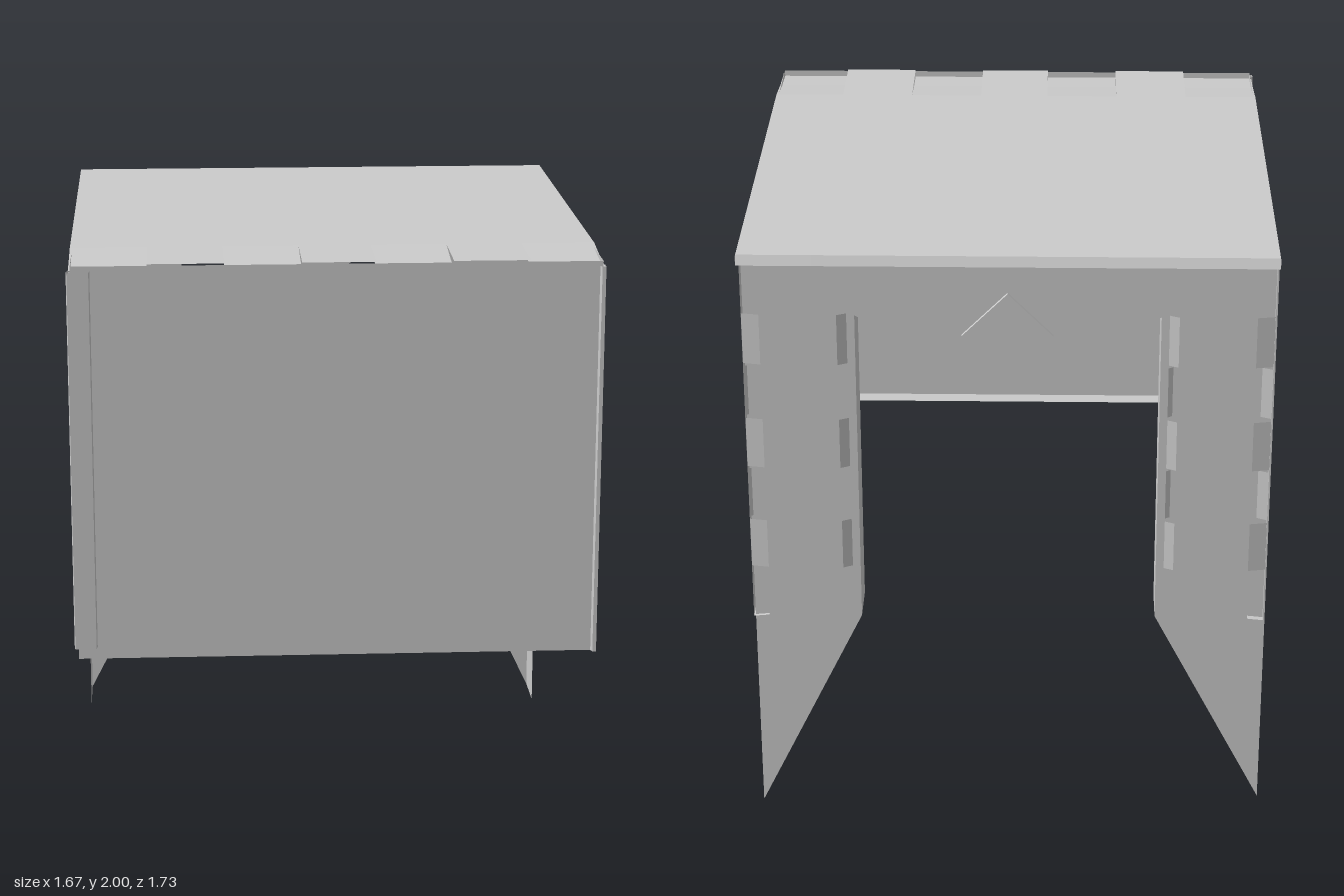
import * as THREE from 'three';

const material = new THREE.MeshStandardMaterial({
  color: 0xcccccc, side: THREE.DoubleSide, flatShading: true,
});

// Adds a folded sheet: a strip of quads between two edges with equal point counts.
function sheet(group, name, edgeA, edgeB) {
  const pos = [], index = [];
  edgeA.forEach((a, i) => pos.push(...a, ...edgeB[i]));
  for (let i = 0; i < edgeA.length - 1; i++) {
    const k = i * 2;
    index.push(k, k + 1, k + 2, k + 1, k + 3, k + 2);
  }
  const geo = new THREE.BufferGeometry();
  geo.setAttribute('position', new THREE.Float32BufferAttribute(pos, 3));
  geo.setIndex(index);
  geo.computeVertexNormals();
  const mesh = new THREE.Mesh(geo, material);
  mesh.name = name;
  group.add(mesh);
}

// Vertical band that follows a plan path of [x, z] points.
const band = (group, name, path, y0, y1) => sheet(group, name,
  path.map(([x, z]) => [x, y0, z]), path.map(([x, z]) => [x, y1, z]));

// Flat outline in the x-y plane at a given z.
function plate(group, name, points, z) {
  const shape = new THREE.Shape(points.map(([x, y]) => new THREE.Vector2(x, y)));
  const mesh = new THREE.Mesh(new THREE.ShapeGeometry(shape), material);
  mesh.name = name;
  mesh.position.z = z;
  group.add(mesh);
}

const W = 0.825, FRONT = 0.84, BACK = -0.82, BASE = 0.72, TOP = 1.995, ROW = 0.18;

// One side wall with woven bands, back flap and pointed leg; s is the x sign.
function buildSide(s) {
  const side = new THREE.Group();
  side.name = s > 0 ? 'leftSide' : 'rightSide';
  for (let row = 0; row < 7; row++) {
    const y0 = BASE + row * ROW, y1 = row === 6 ? TOP : y0 + ROW;
    const tucked = row % 2 === 1;
    const path = [[s * (tucked ? W - 0.015 : W), FRONT], [s * W, 0.06], [s * W, BACK]];
    band(side, 'sideBand', path, y0, y1);
    // bands weave around the back flap, alternately outside and inside
    if (row > 0 && row < 6) {
      const z = tucked ? -0.825 : -0.79;
      band(side, 'wovenEnd',
        [[s * W, BACK + 0.005], [s * 0.77, z], [s * 0.53, z], [s * 0.5, -0.81]],
        y0 + 0.005, y1 - 0.005);
    }
  }
  // bottom hem
  sheet(side, 'sideHem', [[s * W, BASE, FRONT], [s * W, BASE, BACK]],
    [[s * (W - 0.05), BASE + 0.005, FRONT], [s * (W - 0.05), BASE + 0.005, BACK]]);

  // back flap tapering into the leg, with returns at both edges
  const foot = s > 0 ? 0.005 : 0.03, legX = s > 0 ? 0.82 : 0.832;
  const reach = s > 0 ? -0.64 : -0.61, z = s > 0 ? -0.81 : -0.8;
  plate(side, 'backFlapAndLeg',
    [[s * legX, foot], [s * legX, 1.97], [s * 0.475, 1.97], [s * 0.475, BASE]], z);
  band(side, 'legReturn', [[s * legX, z], [s * legX, reach]], foot, BASE + 0.04);
  band(side, 'flapInnerReturn', [[s * 0.475, z], [s * 0.475, -0.66]], BASE, 1.97);
  return side;
}

export function createModel() {
  const model = new THREE.Group();
  model.add(buildSide(1), buildSide(-1));

  // front panel with bottom hem and corner lips
  const front = new THREE.Group();
  front.name = 'front';
  plate(front, 'frontPanel', [[-W, BASE], [W, BASE], [W, TOP], [-W, TOP]], FRONT);
  sheet(front, 'frontHem', [[-W, BASE, FRONT], [W, BASE, FRONT]],
    [[-W, BASE + 0.01, FRONT - 0.08], [W, BASE + 0.01, FRONT - 0.08]]);
  band(front, 'cornerLip', [[-W, 0.83], [-0.838, 0.845], [-0.835, 0.865], [-0.768, 0.865], [-0.765, 0.842]], 0.76, 1.98);
  band(front, 'cornerEdge', [[0.815, 0.842], [0.82, 0.855], [0.832, 0.855], [0.832, 0.82]], 0.72, 1.98);
  model.add(front);

  // top sheet with alternating tucked tabs along the front
  const top = new THREE.Group();
  top.name = 'top';
  const cuts = [-0.832, -0.59, -0.35, -0.11, 0.12, 0.36, 0.6, 0.832];
  for (let i = 0; i < cuts.length - 1; i++) {
    const drop = i % 2 === 0 ? 0.025 : 0;
    const edge = x => [[x, 2 - drop, FRONT], [x, 2 - drop * 0.7, 0.72], [x, 2, 0.58], [x, 2, -0.835], [x, 1.97, -0.85]];
    sheet(top, 'topTab', edge(cuts[i]), edge(cuts[i + 1]));
  }
  for (const s of [1, -1]) {
    sheet(top, 'topRim', [[s * 0.832, 2, 0.6], [s * 0.832, 2, -0.85]],
      [[s * 0.832, 1.97, 0.6], [s * 0.832, 1.97, -0.85]]);
  }
  model.add(top);

  // triangular back flap and its raised diamond tab
  const flap = new THREE.Group();
  flap.name = 'closingFlap';
  plate(flap, 'triangleFlap', [[-0.83, 1.975], [0, 1.575], [0.83, 1.975]], -0.842);
  const diamond = new THREE.Mesh(new THREE.BoxGeometry(0.2, 0.2, 0.012), material);
  diamond.name = 'diamondTab';
  diamond.rotation.z = Math.PI / 4;
  diamond.position.set(0, 1.745, -0.856);
  flap.add(diamond);
  model.add(flap);
  return model;
}
